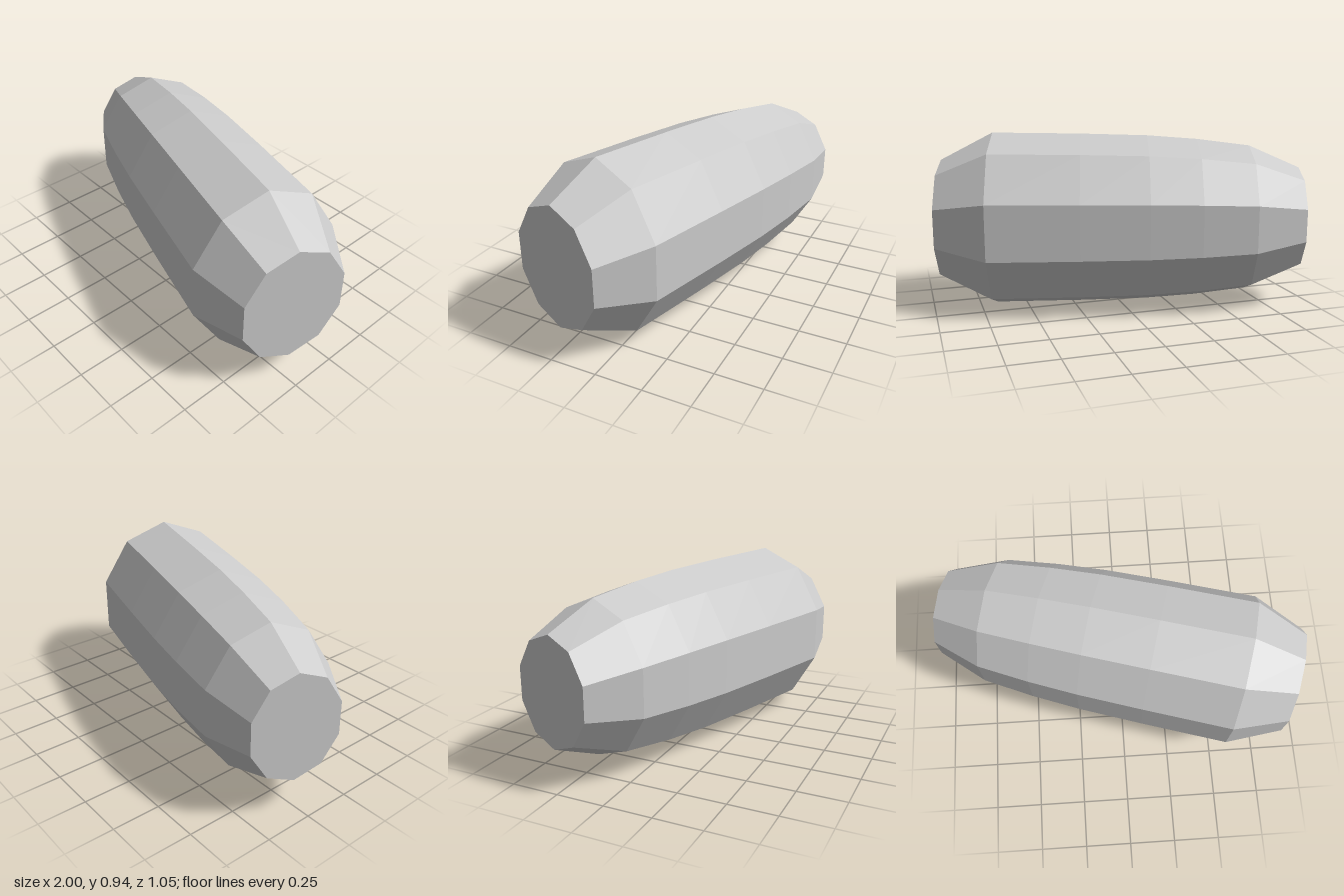
import * as THREE from 'three';

const grey = new THREE.MeshStandardMaterial({ color: 0xcccccc, flatShading: true });
grey.name = 'grey';

export function createModel() {
  const group = new THREE.Group();
  group.name = 'facetedBarrel';

  // Profile: [radius, position along the axis], capped flat at both ends
  const profile = [
    [0, -0.975], [0.28, -0.975], [0.4, -0.7], [0.436, -0.416], [0.456, -0.146],
    [0.466, 0.208], [0.4725, 0.682], [0.327, 0.962], [0, 0.962],
  ].map(([r, t]) => new THREE.Vector2(r, t));

  // Ten-sided body, narrower sideways than it is tall
  const body = new THREE.LatheGeometry(profile, 10);
  body.scale(0.847, 1, 1);

  // Lay it down, with a vertex of each ring on top and the axis turned in plan
  const a = Math.atan(0.2845);
  const axis = new THREE.Vector3(Math.cos(a), 0, Math.sin(a));
  const up = new THREE.Vector3(0, 1, 0);
  const side = new THREE.Vector3().crossVectors(axis, up);
  body.applyMatrix4(new THREE.Matrix4().makeBasis(side, axis, up));
  body.translate(0, 0.4725, -0.029);

  const mesh = new THREE.Mesh(body, grey);
  mesh.name = 'barrelBody';
  group.add(mesh);
  return group;
}
